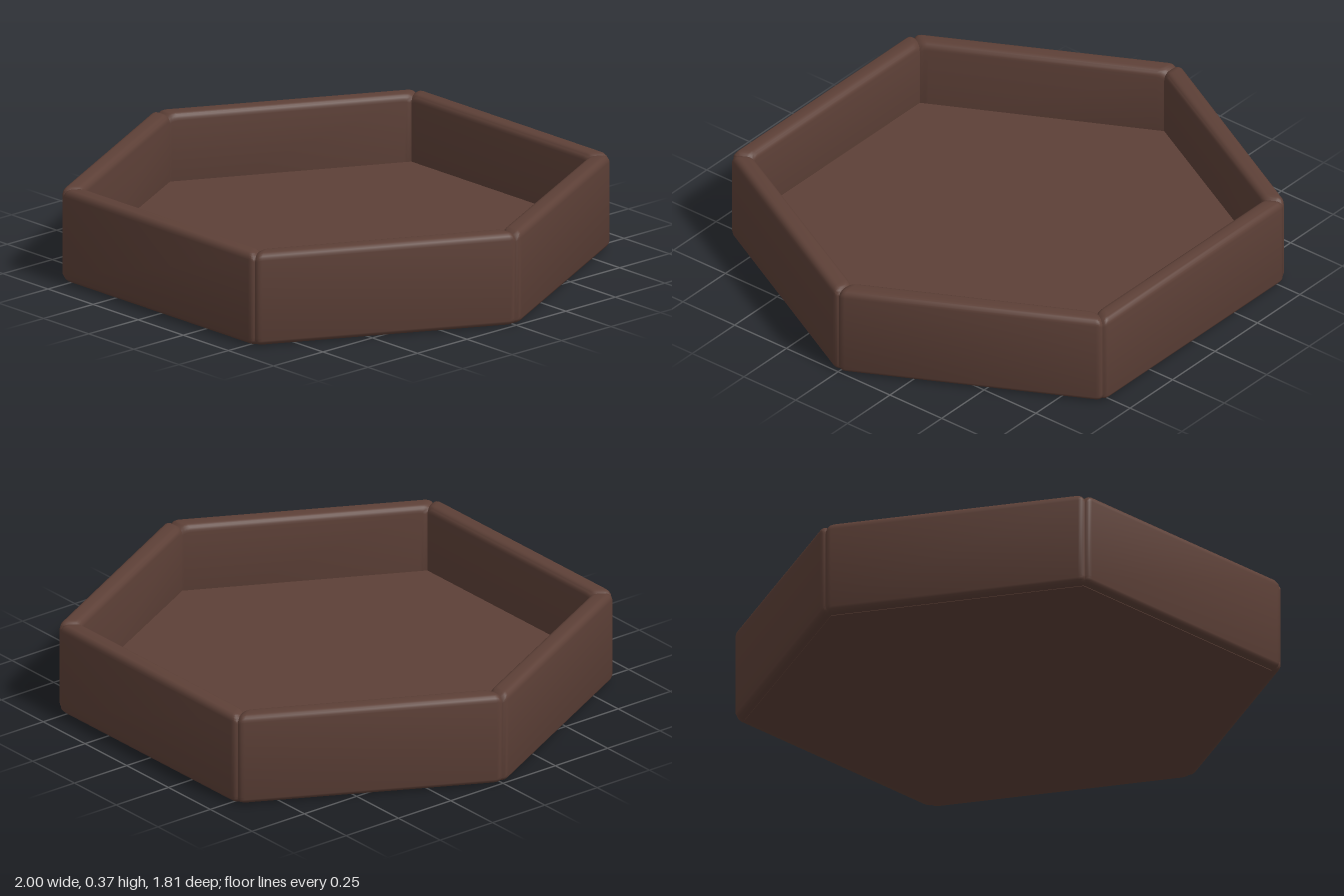
import * as THREE from 'three';
import { toCreasedNormals } from 'three/addons/utils/BufferGeometryUtils.js';

const HEIGHT = 0.365, FLOOR_TOP = 0.1, RADIUS = 0.028;

// Six corners of a hexagon, long axis on x
const hexagon = (tip, x, z) => [
  [tip, 0], [x, z], [-x, z], [-tip, 0], [-x, -z], [x, -z],
].map(([px, pz]) => new THREE.Vector2(px, pz));

// Rounded wall section: offsets across the thickness (0 inside, w outside) and height
function wallSection(w, shrink) {
  const pts = [];
  const x0 = 0, x1 = w - shrink, y0 = 0.002, y1 = HEIGHT - shrink * 0.6;
  const centres = [
    [x1 - RADIUS, y0 + RADIUS, -90], [x1 - RADIUS, y1 - RADIUS, 0],
    [x0 + RADIUS, y1 - RADIUS, 90], [x0 + RADIUS, y0 + RADIUS, 180],
  ];
  for (const [cx, cy, start] of centres) {
    for (let k = 0; k <= 5; k++) {
      const a = THREE.MathUtils.degToRad(start + k * 18);
      pts.push([cx + RADIUS * Math.cos(a), cy + RADIUS * Math.sin(a)]);
    }
  }
  return pts;
}

// Closed sweep of the section round the hexagon, pinched to a fine seam at each corner
function wallGeometry(outer, inner) {
  const stations = [];
  const pinch = [[0, 0.017], [0.008, 0.009], [0.018, 0.003], [0.032, 0]];
  for (let i = 0; i < 6; i++) {
    const j = (i + 1) % 6;
    const dir = outer[j].clone().sub(outer[i]).normalize();
    const add = (corner, d, shrink) => stations.push({
      o: outer[corner].clone().addScaledVector(dir, d),
      n: inner[corner].clone().addScaledVector(dir, d),
      shrink,
    });
    pinch.forEach(([d, s]) => add(i, d, s));
    pinch.slice(1).reverse().forEach(([d, s]) => add(j, -d, s));
  }
  const pos = [], index = [];
  let count = 0;
  for (const { o, n, shrink } of stations) {
    const w = o.distanceTo(n);
    const section = wallSection(w, shrink);
    count = section.length;
    for (const [u, y] of section) {
      const p = n.clone().lerp(o, u / w);
      pos.push(p.x, y, p.y);
    }
  }
  for (let i = 0; i < stations.length; i++) {
    const r0 = i * count, r1 = ((i + 1) % stations.length) * count;
    for (let k = 0; k < count; k++) {
      const k1 = (k + 1) % count;
      index.push(r0 + k, r0 + k1, r1 + k, r0 + k1, r1 + k1, r1 + k);
    }
  }
  const geo = new THREE.BufferGeometry();
  geo.setAttribute('position', new THREE.Float32BufferAttribute(pos, 3));
  geo.setIndex(index);
  return toCreasedNormals(geo, 0.6);
}

export function createModel() {
  const group = new THREE.Group();
  group.name = 'hexagonalTray';
  const brown = new THREE.MeshStandardMaterial({ color: 0x5d4037 });
  brown.name = 'dark brown';

  // Raised rim wall
  const walls = new THREE.Mesh(
    wallGeometry(hexagon(1.012, 0.537, 0.905), hexagon(0.92, 0.49, 0.828)), brown);
  walls.name = 'rimWall';
  group.add(walls);

  // Floor slab, set into the wall
  const floorGeo = new THREE.ExtrudeGeometry(
    new THREE.Shape(hexagon(0.965, 0.512, 0.868)), { depth: FLOOR_TOP, bevelEnabled: false });
  floorGeo.rotateX(-Math.PI / 2);
  const floor = new THREE.Mesh(floorGeo, brown);
  floor.name = 'floor';
  group.add(floor);

  return group;
}
